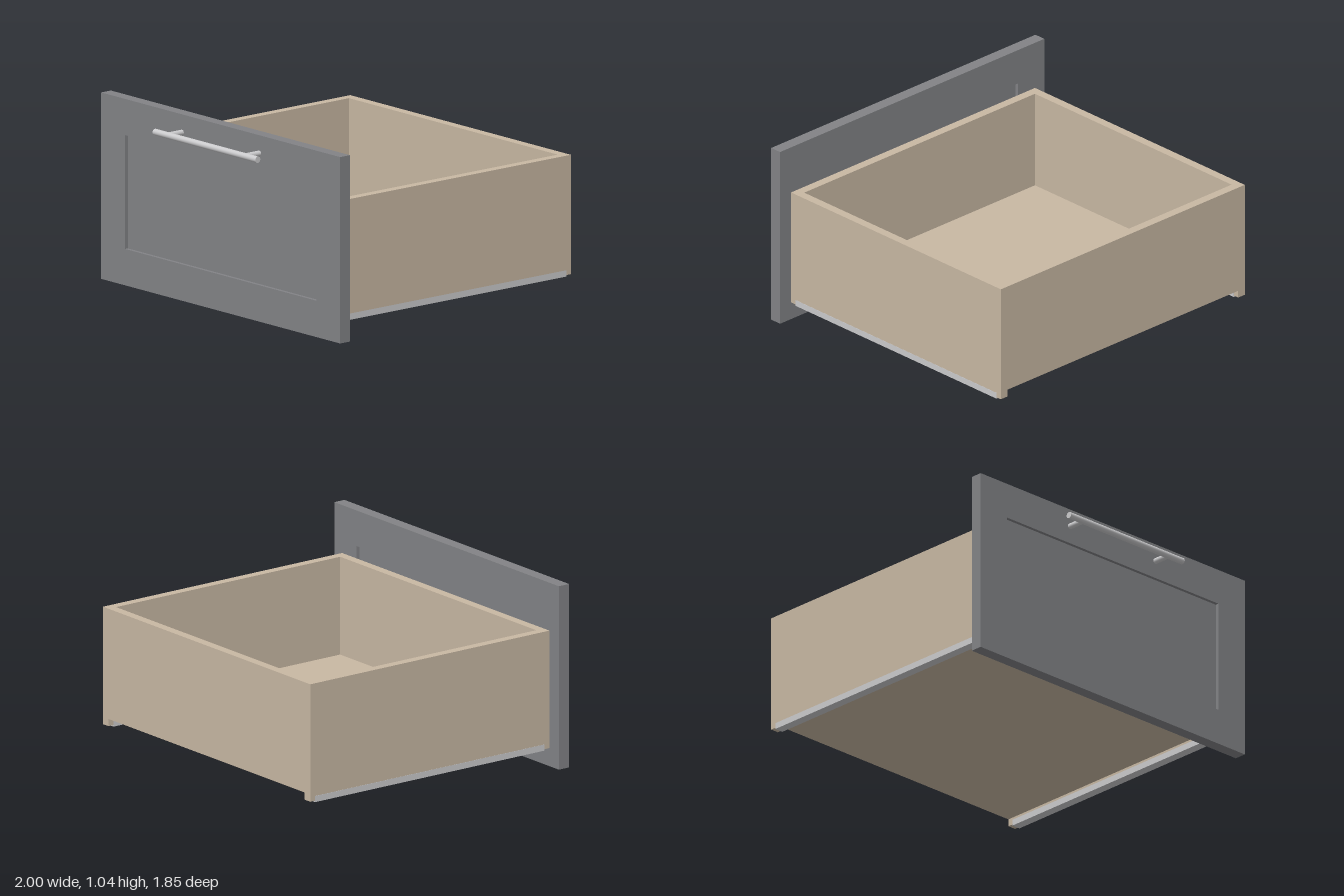
import * as THREE from 'three';

export function createModel() {
  const model = new THREE.Group();
  model.name = 'drawer';

  const material = (name, color) => {
    const m = new THREE.MeshStandardMaterial({ color });
    m.name = name;
    return m;
  };
  const wood = material('pale wood', 0xc8b8a3);
  const paint = material('grey paint', 0x828386);
  const metal = material('brushed metal', 0xcbcbcd);

  const add = (name, geometry, mat, parent = model) => {
    const mesh = new THREE.Mesh(geometry, mat);
    mesh.name = name;
    parent.add(mesh);
    return mesh;
  };
  // Box given by its lower and upper limits on each axis
  const block = (name, [x0, x1], [y0, y1], [z0, z1], mat, parent) => {
    const g = new THREE.BoxGeometry(x1 - x0, y1 - y0, z1 - z0);
    g.translate((x0 + x1) / 2, (y0 + y1) / 2, (z0 + z1) / 2);
    return add(name, g, mat, parent);
  };

  // Front: a frame around a panel recessed on both faces
  const front = new THREE.Group();
  front.name = 'drawerFront';
  model.add(front);
  const rect = (Type, x, y0, y1) => new Type([
    new THREE.Vector2(-x, y0), new THREE.Vector2(x, y0),
    new THREE.Vector2(x, y1), new THREE.Vector2(-x, y1),
  ]);
  const outline = rect(THREE.Shape, 1, 0, 1.045);
  outline.holes.push(rect(THREE.Path, 0.8, 0.204, 0.842));
  const frame = new THREE.ExtrudeGeometry(outline, { depth: 0.07, bevelEnabled: false });
  frame.translate(0, 0, 0.732);
  add('frontFrame', frame, paint, front);
  block('frontPanel', [-0.8, 0.8], [0.204, 0.842], [0.752, 0.782], paint, front);

  // Box: side boards reach below the floor and the end boards
  const box = new THREE.Group();
  box.name = 'drawerBox';
  model.add(box);
  const out = 0.923, inn = 0.873, top = 0.775, under = 0.147;
  const zBack = -0.923, zFront = 0.726, wall = 0.052;
  for (const [side, s] of [['left', 1], ['right', -1]]) {
    const span = (a, b) => (s > 0 ? [a, b] : [-b, -a]);
    block(side + 'Side', span(inn, out), [0.106, top], [zBack, zFront], wood, box);
    // Slide runner under the side board
    block(side + 'Runner', span(inn - 0.002, out + 0.001), [0.098, 0.133], [-0.89, 0.692], metal);
  }
  block('backWall', [-inn, inn], [under, top], [zBack, zBack + wall], wood, box);
  block('frontWall', [-inn, inn], [under, top], [zFront - wall, zFront], wood, box);
  block('floor', [-inn, inn], [under, 0.218], [zBack + wall, zFront - wall], wood, box);

  // Bar handle on two posts
  const handle = new THREE.Group();
  handle.name = 'handle';
  handle.position.set(0, 0.943, 0);
  model.add(handle);
  const bar = add('handleBar', new THREE.CylinderGeometry(0.018, 0.018, 0.86, 32), metal, handle);
  bar.rotation.z = Math.PI / 2;
  bar.position.z = 0.904;
  for (const x of [-0.323, 0.323]) {
    const post = add('handlePost', new THREE.CylinderGeometry(0.016, 0.016, 0.104, 24), metal, handle);
    post.rotation.x = Math.PI / 2;
    post.position.set(x, 0, 0.852);
  }

  return model;
}
